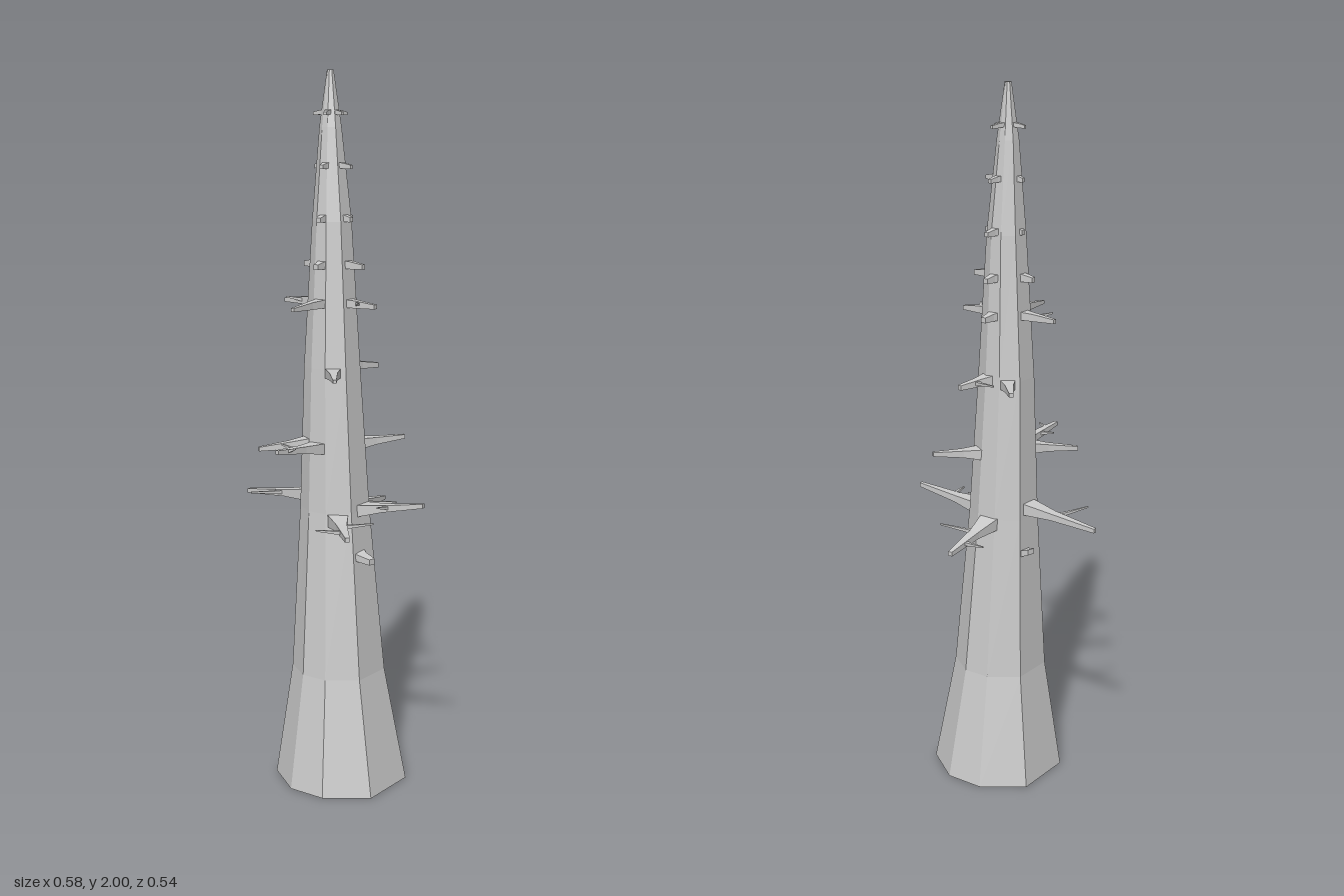
import * as THREE from 'three';

const material = new THREE.MeshStandardMaterial({ color: 0xcccccc, flatShading: true });

// Skin equal-sized cross-section loops, bottom/root first, with both ends capped
function loft(rings, name) {
  const pos = [], index = [], n = rings[0].length, last = (rings.length - 1) * n;
  rings.forEach(r => r.forEach(p => pos.push(...p)));
  for (let i = 0; i < rings.length - 1; i++) {
    for (let j = 0; j < n; j++) {
      const a = i * n + j, b = i * n + (j + 1) % n;
      index.push(a, b, b + n, a, b + n, a + n);
    }
  }
  for (let j = 1; j < n - 1; j++) {
    index.push(0, j + 1, j, last, last + j, last + j + 1);
  }
  const g = new THREE.BufferGeometry();
  g.setAttribute('position', new THREE.Float32BufferAttribute(pos, 3));
  g.setIndex(index);
  const flat = g.toNonIndexed();
  flat.computeVertexNormals();
  const mesh = new THREE.Mesh(flat, material);
  mesh.name = name;
  return mesh;
}

// Flat tapered bar along a path; each size is [width, height]
function bar(path, sizes, name) {
  const first = path[0], end = path[path.length - 1];
  const dx = end[0] - first[0], dz = end[2] - first[2], len = Math.hypot(dx, dz);
  const sx = -dz / len, sz = dx / len; // sideways direction
  return loft(path.map(([x, y, z], i) => {
    const [w, h] = sizes[i];
    return [[-1, -1], [-1, 1], [1, 1], [1, -1]].map(
      ([u, v]) => [x + sx * u * w / 2, y + v * h / 2, z + sz * u * w / 2]);
  }), name);
}

// Trunk rings: height, centre x, radius x, centre z, radius z
const TRUNK = [
  [0, 0.037, 0.167, 0.013, 0.167],
  [0.33, 0.03, 0.117, 0.016, 0.117],
  [0.8, 0.018, 0.088, 0.017, 0.083],
  [1.2, 0.011, 0.071, 0.02, 0.065],
  [1.6, 0.008, 0.048, 0.017, 0.048],
  [1.85, 0.002, 0.027, 0.015, 0.026],
  [2, 0, 0.008, 0.013, 0.008],
];
const OCTAGON = [[1, 0.53], [1, -0.53], [0.33, -1], [-0.33, -1],
  [-1, -0.53], [-1, 0.53], [-0.33, 1], [0.33, 1]];

// Trunk centre and radius at a height
function trunkAt(y) {
  const i = Math.max(1, TRUNK.findIndex(r => r[0] >= y));
  const a = TRUNK[i - 1], b = TRUNK[i], t = (y - a[0]) / (b[0] - a[0]);
  return a.map((v, k) => v + (b[k] - v) * t);
}

// Lower limbs: root y, tip y, tip x, tip z, then twigs as [place along limb, tip x, tip z]
const LIMBS = [
  [0.68, 0.67, 0.165, 0.045],
  [0.69, 0.71, -0.10, -0.015],
  [0.80, 0.835, 0.29, -0.02, [0.5, 0.185, 0.05]],
  [0.83, 0.805, -0.29, 0.02, [0.45, -0.205, 0.115]],
  [0.79, 0.765, -0.01, -0.27, [0.68, -0.08, -0.215], [0.36, 0.11, -0.158]],
  [0.78, 0.79, 0.23, 0.255, [0.66, 0.12, 0.245], [0.38, 0.2, 0.09]],
  [0.98, 1.0, 0.01, 0.27, [0.77, 0.04, 0.227], [0.55, -0.04, 0.183]],
  [0.98, 0.99, 0.14, -0.15],
  [0.99, 0.975, -0.13, 0.172],
  [1.19, 1.2, 0.165, 0.222],
  [1.19, 1.195, -0.11, -0.125],
  [1.2, 1.19, 0.06, -0.13, [0.5, -0.04, -0.11]],
];

// Upper whorls: height, then the tip positions toward +x, -x, +z and -z
const WHORLS = [
  [1.38, 0.155, -0.15, 0.205, -0.08],
  [1.485, 0.115, -0.08, 0.1, -0.07],
  [1.61, 0.075, -0.045, 0.088, -0.065],
  [1.75, 0.075, -0.045, 0.075, -0.05],
  [1.89, 0.045, -0.05, 0.058, -0.04],
];

// Limb that starts inside the trunk, thinning quickly and then slowly
function buildLimb([y0, y1, tx, tz, ...twigs]) {
  const group = new THREE.Group();
  group.name = 'branch';
  const [, cx, rx, cz] = trunkAt(y0);
  const len = Math.hypot(tx - cx, tz - cz), start = 0.75 * rx / len;
  const at = t => {
    const s = start + (1 - start) * t;
    return [cx + (tx - cx) * s, y0 + (y1 - y0) * t, cz + (tz - cz) * s];
  };
  // higher limbs are thinner, shorter ones have blunter tips
  const root = 0.092 - 0.039 * y0;
  const tip = root * Math.max(0.2, 0.55 - 1.6 * len);
  const mid = tip + (root - tip) * 0.35;
  group.add(bar([at(0), at(0.42), at(1)],
    [[root, root * 0.6], [mid, Math.min(0.02, mid)], [tip, Math.min(0.016, tip)]], 'limb'));
  for (const [t, x, z] of twigs) {
    const p = at(t);
    const bend = [p[0] + (x - p[0]) * 0.35, p[1] + 0.003, p[2] + (z - p[2]) * 0.35];
    group.add(bar([p, bend, [x, p[1] + 0.01, z]],
      [[0.014, 0.012], [0.009, 0.008], [0.004, 0.004]], 'twig'));
  }
  return group;
}

// Four short limbs around the trunk; the long sideways ones carry a twig
function buildWhorl([y, ...tips]) {
  const group = new THREE.Group();
  group.name = 'whorl';
  tips.forEach((reach, i) => {
    const twigs = i < 2 && Math.abs(reach) > 0.12 ? [[0.4, reach * 0.8, 0.055]] : [];
    const [x, z] = i < 2 ? [reach, 0.02] : [0.015, reach];
    group.add(buildLimb([y, y - 0.005, x, z, ...twigs]));
  });
  return group;
}

export function createModel() {
  const model = new THREE.Group();
  model.name = 'deadTree';
  // Eight-sided tapering trunk
  model.add(loft(TRUNK.map(([y, cx, rx, cz, rz]) =>
    OCTAGON.map(([u, v]) => [cx + u * rx, y, cz + v * rz])), 'trunk'));
  // Long lower limbs, then the rings of short upper ones
  LIMBS.forEach(limb => model.add(buildLimb(limb)));
  WHORLS.forEach(whorl => model.add(buildWhorl(whorl)));
  return model;
}
